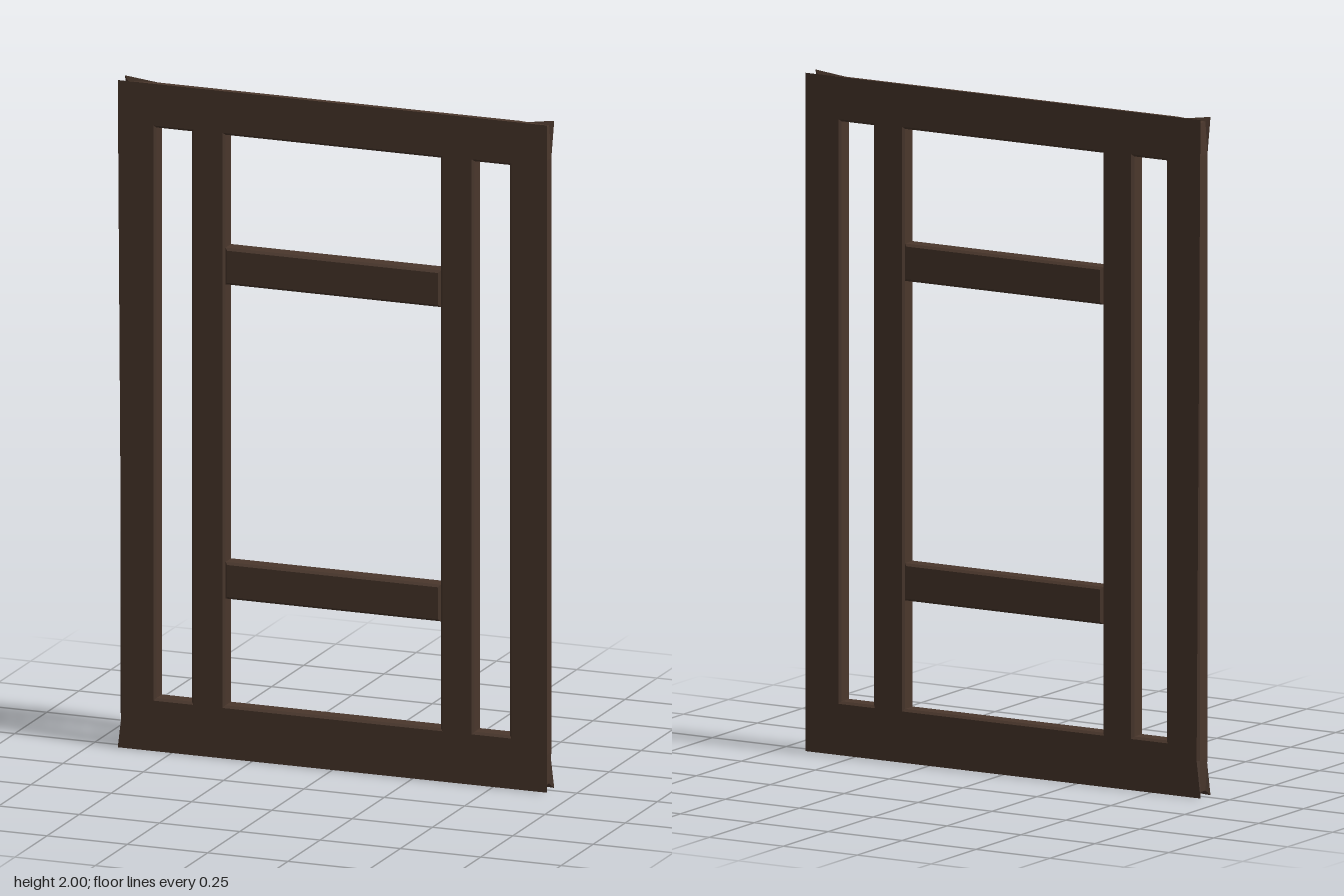
import * as THREE from 'three';

const HALF_DEPTH = 0.028, BEVEL = 0.007;

// Rectangular path between two corners
function rect(x0, y0, x1, y1, Kind = THREE.Path) {
  return new Kind([[x0, y0], [x1, y0], [x1, y1], [x0, y1]].map(p => new THREE.Vector2(...p)));
}

// Board of even thickness with chamfered edges, centred on z = 0
function board(shape) {
  const geo = new THREE.ExtrudeGeometry(shape, {
    depth: 2 * (HALF_DEPTH - BEVEL), bevelEnabled: true, bevelSegments: 1,
    bevelSize: BEVEL, bevelThickness: BEVEL, bevelOffset: -BEVEL,
  });
  return geo.translate(0, 0, BEVEL - HALF_DEPTH);
}

// Outer frame and uprights, with the three tall openings cut out
function frameGeometry() {
  const X = 0.662, LOW = 0.009, HIGH = 1.991, RUN = 0.1;
  const outline = [
    [-X, LOW], [-X + RUN, LOW], [X - RUN, LOW], [X, LOW],
    [X, LOW + RUN], [X, HIGH - RUN], [X, HIGH],
    [X - RUN, HIGH], [-X + RUN, HIGH], [-X, HIGH],
    [-X, HIGH - RUN], [-X, LOW + RUN],
  ].map(p => new THREE.Vector2(...p));
  const shape = new THREE.Shape(outline);
  for (const [a, b] of [[-0.55, -0.44], [-0.335, 0.335], [0.44, 0.55]]) {
    shape.holes.push(rect(a, 0.158, b, 1.868));
  }
  const geo = board(shape);

  // Corners flare out on both faces and dip inward between them
  const pos = geo.attributes.position;
  for (let i = 0; i < pos.count; i++) {
    const x = pos.getX(i), dy = pos.getY(i) - 1;
    if (Math.abs(x) < 0.63 || Math.abs(dy) < 0.95) continue;
    const onFace = Math.abs(pos.getZ(i)) > HALF_DEPTH - 0.001;
    pos.setX(i, Math.sign(x) * (onFace ? 0.668 : 0.655));
    pos.setY(i, 1 + Math.sign(dy) * (onFace ? 1 : 0.986));
  }
  geo.computeVertexNormals();
  return geo;
}

export function createModel() {
  const group = new THREE.Group();
  group.name = 'latticePanel';
  const wood = new THREE.MeshStandardMaterial({ color: 0x4a372c });
  const add = (name, geo) => {
    const mesh = new THREE.Mesh(geo, wood);
    mesh.name = name;
    group.add(mesh);
  };

  add('frame', frameGeometry());
  // Cross rails bridging the centre opening
  add('lowerCrossRail', board(rect(-0.335, 0.478, 0.335, 0.588, THREE.Shape)));
  add('upperCrossRail', board(rect(-0.335, 1.42, 0.335, 1.53, THREE.Shape)));
  return group;
}
